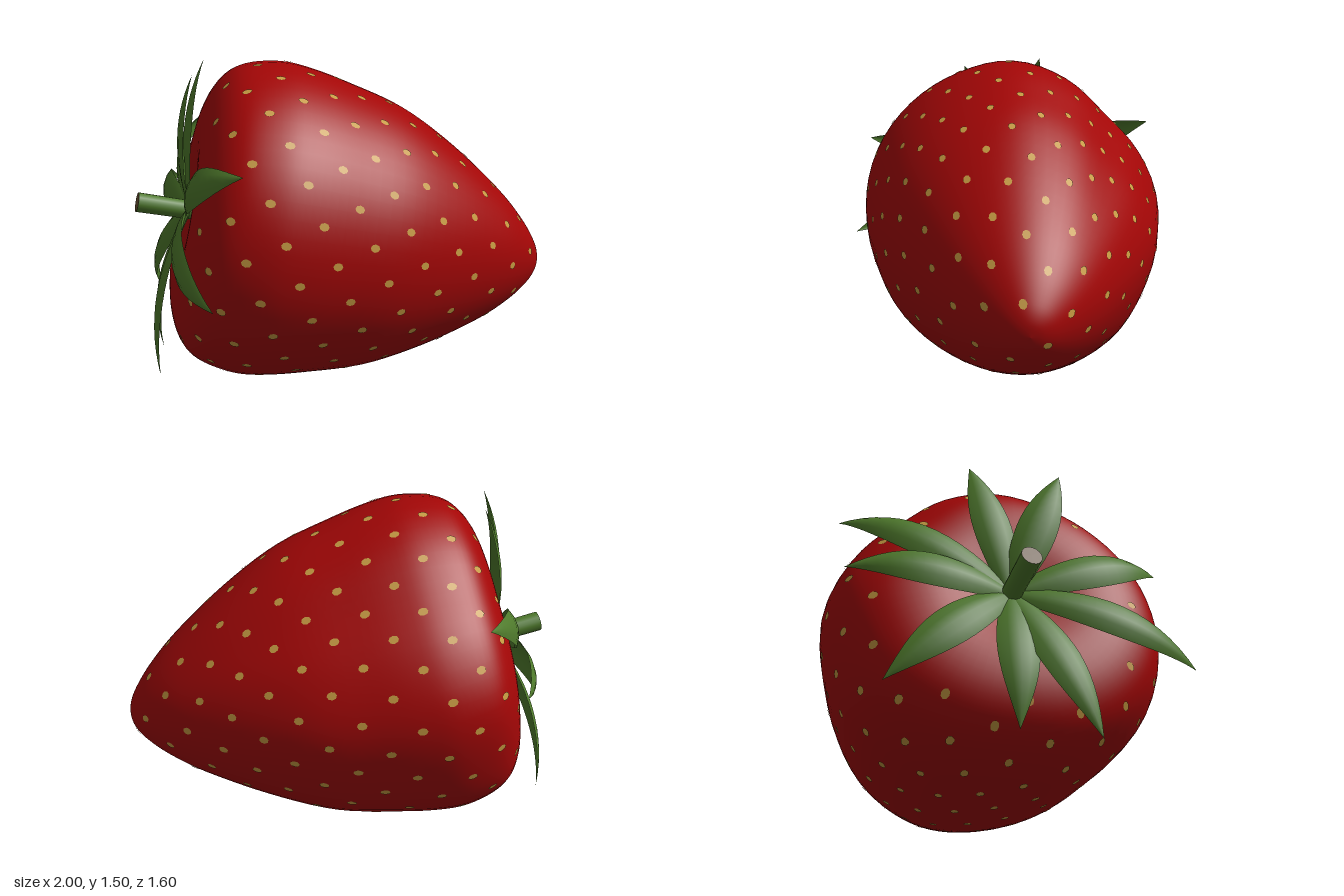
import * as THREE from 'three';
import { mergeGeometries } from 'three/addons/utils/BufferGeometryUtils.js';

const mat = (name, color, side = THREE.FrontSide) => {
  const m = new THREE.MeshStandardMaterial({ color, side });
  m.name = name;
  return m;
};
const V = (x, y, z) => new THREE.Vector3(x, y, z);

// Tilted fruit axis: origin at the calyx, D points to the tip, N is "up"
const O = V(-0.75, 0.8, -0.045);
const D = V(0.98, -0.2, 0);
const N = V(0.2, 0.98, 0);
const Z = V(0, 0, 1);

// Fruit profile: distance along the axis, radius
const profile = new THREE.SplineCurve([
  [0.04, 0], [0.01, 0.16], [-0.018, 0.34], [-0.002, 0.5], [0.055, 0.625], [0.145, 0.698],
  [0.3, 0.737], [0.45, 0.732], [0.65, 0.697], [0.92, 0.632], [1.2, 0.507], [1.47, 0.35],
  [1.63, 0.23], [1.73, 0.13], [1.775, 0.06], [1.788, 0],
].map(([a, r]) => new THREE.Vector2(a, r)));

// Uneven roundness of the cross-section, every 22.5 degrees from +z towards up
const lumps = new THREE.CatmullRomCurve3(
  [0.768, 0.76, 0.75, 0.745, 0.75, 0.712, 0.672, 0.712,
    0.763, 0.77, 0.795, 0.777, 0.757, 0.765, 0.772, 0.777].map((f) => V(f / 0.745, 0, 0)),
  true, 'catmullrom', 0.5);

function fruitPoint(t, turn) {
  const p = profile.getPoint(t);
  const u = turn - Math.floor(turn);
  const keep = 1 - THREE.MathUtils.smoothstep(p.x, 0.8, 1.75);
  const r = Math.max(p.y, 0) * THREE.MathUtils.lerp(1.02, lumps.getPoint(u).x, keep);
  const ang = u * Math.PI * 2;
  return O.clone()
    .addScaledVector(D, p.x)
    .addScaledVector(N, r * Math.sin(ang) + 0.02 * keep)
    .addScaledVector(Z, r * Math.cos(ang));
}

function gridGeometry(rows, cols, wrap, point) {
  const pos = [], idx = [];
  const perRow = wrap ? cols : cols + 1;
  for (let i = 0; i <= rows; i++)
    for (let j = 0; j < perRow; j++) pos.push(...point(i / rows, j / cols).toArray());
  for (let i = 0; i < rows; i++)
    for (let j = 0; j < cols; j++) {
      const k = (j + 1) % perRow;
      const a = i * perRow + j, b = a + perRow, c = i * perRow + k, d = c + perRow;
      idx.push(a, b, c, b, d, c);
    }
  const g = new THREE.BufferGeometry();
  g.setAttribute('position', new THREE.Float32BufferAttribute(pos, 3));
  g.setIndex(idx);
  g.computeVertexNormals();
  return g;
}

// Seeds: flat ovals on a golden-angle spiral, evenly spread over the skin
function seedGeometry(count) {
  const steps = 400, t0 = 0.215, t1 = 0.945, sum = [0];
  const at = (i) => t0 + (t1 - t0) * i / steps;
  for (let i = 1; i <= steps; i++) {
    const p = profile.getPoint(at(i - 1)), q = profile.getPoint(at(i));
    sum.push(sum[i - 1] + p.distanceTo(q) * (p.y + q.y));
  }
  const base = new THREE.CircleGeometry(1, 8).scale(0.023, 0.018, 1).translate(0, 0, 0.003);
  const parts = [];
  for (let s = 0, i = 0; s < count; s++) {
    const goal = sum[steps] * (s + 0.5) / count;
    while (sum[i + 1] < goal) i++;
    const t = at(i + (goal - sum[i]) / (sum[i + 1] - sum[i]));
    const turn = s * 0.381966;
    const p = fruitPoint(t, turn);
    const along = fruitPoint(t + 0.004, turn).sub(p).normalize();
    const around = fruitPoint(t, turn + 0.004).sub(p);
    const out = along.clone().cross(around).normalize();
    const m = new THREE.Matrix4().makeBasis(along, out.clone().cross(along), out).setPosition(p);
    parts.push(base.clone().applyMatrix4(m));
  }
  return mergeGeometries(parts);
}

// Sepal: arched, pointed blade, slightly folded down along its edges
function sepalGeometry(tip, reach, arch) {
  const start = V(-0.75, 0.8, -0.04);
  const bend = start.clone().lerp(tip, reach).addScaledVector(D, -arch);
  const curve = new THREE.QuadraticBezierCurve3(start, bend, tip);
  return gridGeometry(14, 4, false, (t, v) => {
    const s = v * 2 - 1;
    const tangent = curve.getTangent(t);
    const side = D.clone().cross(tangent).normalize();
    const out = tangent.clone().cross(side).normalize();
    const half = 0.09 * Math.sin(Math.PI * Math.pow(0.14 + 0.86 * t, 1.05));
    return curve.getPoint(t).addScaledVector(side, -s * half)
      .addScaledVector(out, (out.dot(D) > 0 ? 1 : -1) * 0.3 * half * s * s);
  });
}

export function createModel() {
  const red = mat('fruit red', 0xa30606);
  const yellow = mat('seed yellow', 0xc69a42);
  const green = mat('leaf green', 0x4f7a2c, THREE.DoubleSide);
  const brown = mat('cut stem brown', 0x6b5233);

  const model = new THREE.Group();
  model.name = 'strawberry';
  const add = (name, geometry, material, parent = model) => {
    const mesh = new THREE.Mesh(geometry, material);
    mesh.name = name;
    parent.add(mesh);
    return mesh;
  };

  add('fruit', gridGeometry(72, 64, true, fruitPoint), red);
  add('seeds', seedGeometry(212), yellow);

  // Calyx: nine sepals, each with its tip, where it bends and how far it arches
  const calyx = new THREE.Group();
  calyx.name = 'calyx';
  model.add(calyx);
  [
    [-0.645, 1.49, -0.2, 0.55, 0.12], [-0.73, 1.45, 0.2, 0.55, 0.12],
    [-0.57, 1.08, 0.7, 0.65, 0.24], [-0.715, 0.545, 0.8, 0.6, 0.25],
    [-0.92, 0.1, 0.28, 0.55, 0.16], [-0.89, 0.12, -0.05, 0.55, 0.16],
    [-0.87, 0.28, -0.59, 0.55, 0.18], [-0.75, 0.83, -0.75, 0.6, 0.2],
    [-0.56, 1.16, -0.77, 0.65, 0.25],
  ].forEach(([x, y, z, reach, arch]) =>
    add('sepal', sepalGeometry(V(x, y, z), reach, arch), green, calyx));

  // Stem with a cut end
  const from = V(-0.7, 0.785, -0.045), to = V(-0.988, 0.848, -0.015);
  const stem = add('stem', new THREE.CylinderGeometry(0.046, 0.044, from.distanceTo(to), 16), [green, brown, green]);
  stem.position.copy(from).lerp(to, 0.5);
  stem.quaternion.setFromUnitVectors(V(0, 1, 0), to.clone().sub(from).normalize());

  return model;
}
